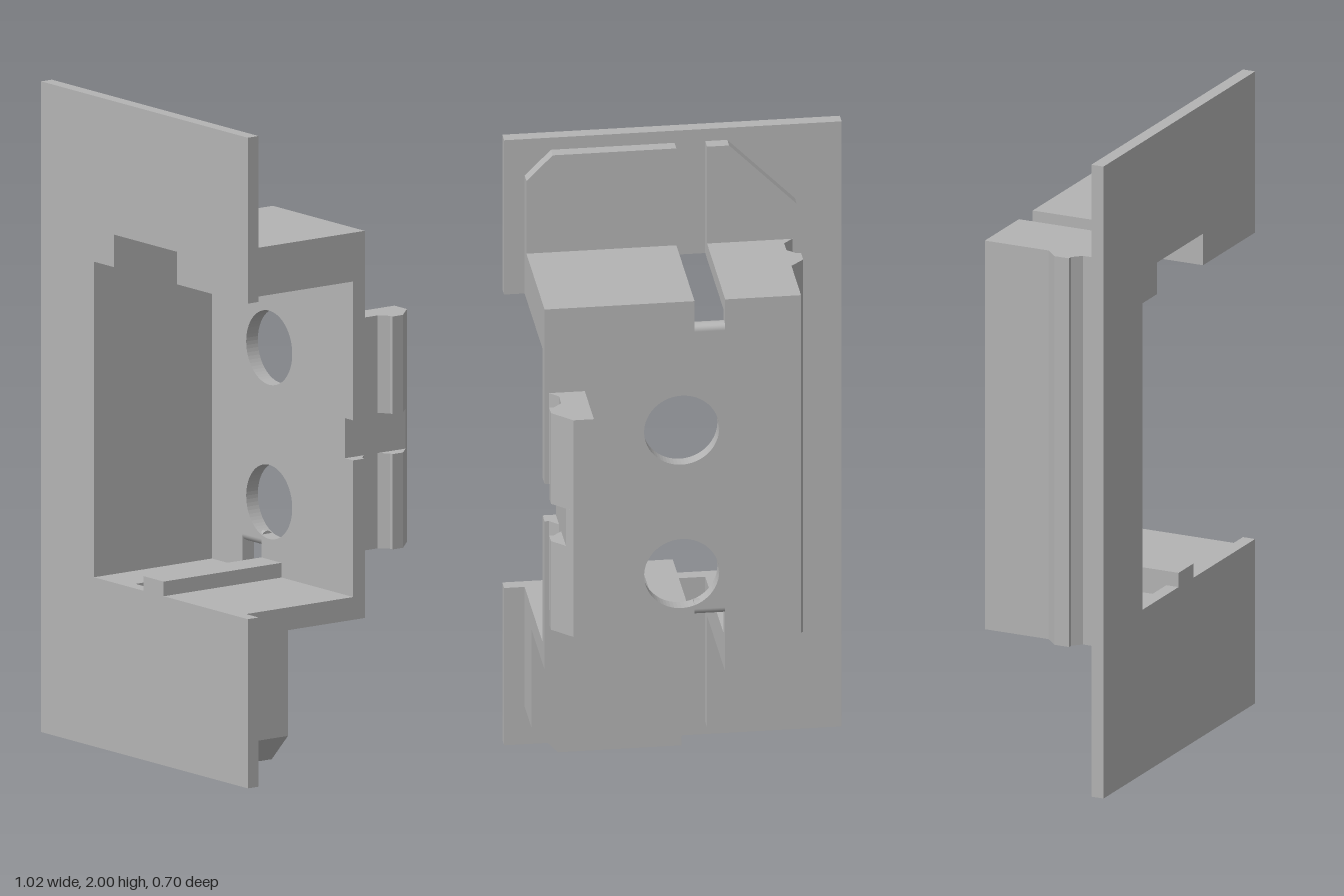
import * as THREE from 'three';

const grey = new THREE.MeshStandardMaterial({ color: 0xb3b3b3 });
grey.name = 'plain grey';

const outline = (points) => new THREE.Shape(points.map(([a, b]) => new THREE.Vector2(a, b)));

export function createModel() {
  const group = new THREE.Group();

  const add = (name, geometry) => {
    const mesh = new THREE.Mesh(geometry, grey);
    mesh.name = name;
    group.add(mesh);
    return mesh;
  };

  // Front outline (x, y) pushed from z0 to z1
  const slab = (name, shape, z0, z1) => {
    const g = new THREE.ExtrudeGeometry(shape, { depth: z1 - z0, bevelEnabled: false, curveSegments: 32 });
    return add(name, g.translate(0, 0, z0));
  };

  // Plan section (x, z) raised from y0 to y1
  const rail = (name, points, y0, y1) => {
    const shape = outline(points.map(([x, z]) => [x, -z]));
    const g = new THREE.ExtrudeGeometry(shape, { depth: y1 - y0, bevelEnabled: false });
    return add(name, g.rotateX(-Math.PI / 2).translate(0, y0, 0));
  };

  // Cover plate, open on one side
  slab('coverPlate', outline([
    [-0.512, 0], [0.512, 0], [0.512, 0.52], [0.095, 0.52], [0.095, 0.565], [-0.005, 0.565],
    [-0.005, 0.52], [-0.25, 0.52], [-0.25, 1.49], [-0.15, 1.49], [-0.15, 1.59],
    [0.16, 1.59], [0.16, 1.49], [0.512, 1.49], [0.512, 2], [-0.512, 2],
  ]), 0.305, 0.346);

  // Housing walls, split by the slots
  slab('sideWall', outline([
    [-0.328, 0.41], [-0.098, 0.41], [-0.098, 0.52], [-0.25, 0.52], [-0.25, 1.49],
    [-0.15, 1.49], [-0.15, 1.59], [-0.098, 1.59], [-0.098, 1.64], [-0.328, 1.64],
  ]), -0.1, 0.305);
  slab('topWall', outline([
    [-0.005, 1.59], [0.16, 1.59], [0.16, 1.49], [0.45, 1.49], [0.45, 1.64], [-0.005, 1.64],
  ]), -0.1, 0.305);
  slab('bottomWall', outline([
    [-0.005, 0.45], [0.45, 0.45], [0.45, 0.52], [0.095, 0.52], [0.095, 0.565], [-0.005, 0.565],
  ]), -0.1, 0.305);

  // Back wall with two round holes and an edge notch
  const back = outline([
    [-0.328, 0.41], [-0.098, 0.41], [-0.098, 0.622], [-0.005, 0.622], [-0.005, 0.45],
    [0.45, 0.45], [0.45, 0.94], [0.41, 0.94], [0.41, 1.063], [0.45, 1.063], [0.45, 1.64],
    [-0.005, 1.64], [-0.005, 1.538], [-0.098, 1.538], [-0.098, 1.64], [-0.328, 1.64],
  ]);
  for (const y of [0.742, 1.216]) {
    back.holes.push(new THREE.Path().absarc(0.034, y, 0.114, 0, Math.PI * 2, true));
  }
  slab('backWall', back, -0.144, -0.1);

  // Rounded ends of the slots in the back wall
  for (const y of [0.622, 1.538]) {
    const lip = new THREE.CylinderGeometry(0.022, 0.022, 0.093, 24);
    add('slotLip', lip.rotateZ(Math.PI / 2).translate(-0.0515, y, -0.122));
  }

  // Raised pads behind the plate
  slab('longPad', outline([
    [-0.37, 0.13], [-0.28, 0.04], [-0.098, 0.04], [-0.098, 0.52], [-0.25, 0.52],
    [-0.25, 1.49], [-0.15, 1.49], [-0.15, 1.59], [-0.098, 1.59], [-0.098, 1.96],
    [-0.165, 1.96], [-0.37, 1.755],
  ]), 0.264, 0.305);
  slab('topPad', outline([
    [-0.005, 1.64], [0.45, 1.64], [0.45, 1.88], [0.37, 1.96], [-0.005, 1.96],
  ]), 0.264, 0.305);
  slab('lowerBlock', outline([
    [-0.005, 0.04], [0.37, 0.04], [0.45, 0.125], [0.45, 0.45], [-0.005, 0.45],
  ]), 0.147, 0.305);

  // Snap ridge and root fillet along the side wall
  rail('snapRidge', [
    [-0.328, 0.07], [-0.328, 0.186], [-0.354, 0.159], [-0.369, 0.159], [-0.369, 0.111],
  ], 0.41, 1.64);
  rail('ridgeRoot', [[-0.328, 0.235], [-0.328, 0.264], [-0.357, 0.264]], 0.41, 1.64);

  // Rear hook in two halves, joined by a narrower bridge
  const hook = [
    [0.328, -0.144], [0.328, -0.349], [0.39, -0.349], [0.45, -0.288], [0.45, -0.249],
    [0.437, -0.249], [0.41, -0.222], [0.41, -0.171], [0.437, -0.144],
  ];
  rail('lowerHook', hook, 0.647, 0.94);
  rail('upperHook', hook, 1.063, 1.363);
  rail('hookBridge', [
    [0.328, -0.144], [0.328, -0.349], [0.39, -0.349], [0.41, -0.329], [0.41, -0.144],
  ], 0.94, 1.063);

  return group;
}
